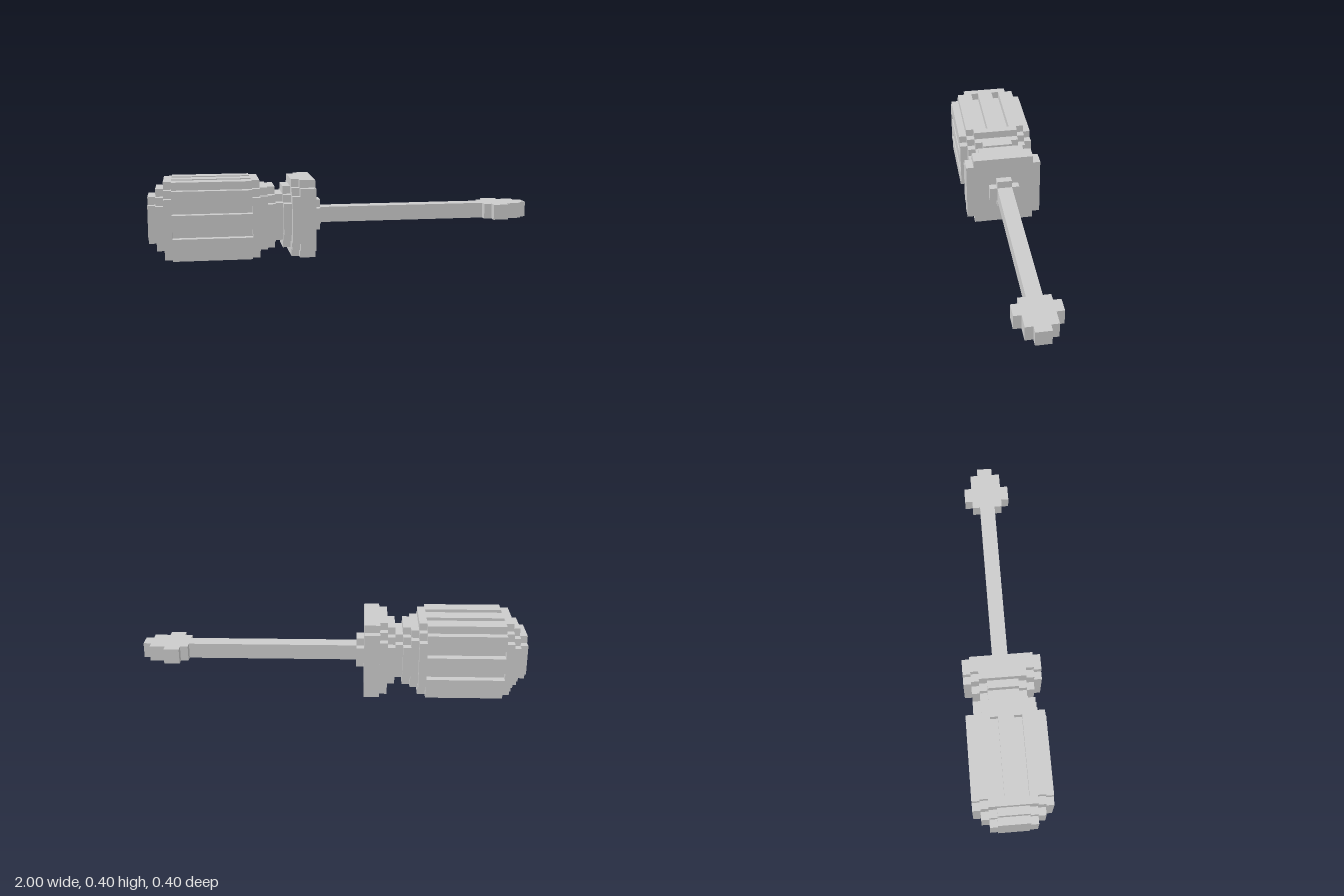
import * as THREE from 'three';

const U = 0.04; // size of one block
const material = new THREE.MeshStandardMaterial({ color: 0xcccccc, flatShading: true });

// Mirror the first-quadrant points of an outline into all four quadrants
function mirroredShape(quarter) {
  const rev = [...quarter].reverse();
  const pts = [
    ...quarter,
    ...rev.map(([x, y]) => [-x, y]),
    ...quarter.map(([x, y]) => [-x, -y]),
    ...rev.map(([x, y]) => [x, -y]),
  ];
  return new THREE.Shape(pts.map(([x, y]) => new THREE.Vector2(x * U, y * U)));
}

// Square section of half-width h with corners stepped back by `cut` blocks
function section(h, cut, grooved = false) {
  const side = grooved ? [[h, 1], [h - 1, 1], [h - 1, 2], [h, 2]] : [];
  const steps = [];
  for (let i = 0; i <= cut; i++) {
    steps.push([h - i, h - cut + i]);
    if (i < cut) steps.push([h - i - 1, h - cut + i]);
  }
  const top = side.map(([a, b]) => [b, a]).reverse();
  return mirroredShape([...side, ...steps, ...top]);
}

// Extrude a section along x from block x0 to block x1
function addSlice(group, name, shape, x0, x1) {
  const geo = new THREE.ExtrudeGeometry(shape, { depth: (x1 - x0) * U, bevelEnabled: false });
  geo.rotateY(Math.PI / 2);
  geo.translate(x0 * U, 5 * U, 0);
  const mesh = new THREE.Mesh(geo, material);
  mesh.name = name;
  group.add(mesh);
}

export function createModel() {
  const model = new THREE.Group();
  model.name = 'screwdriver';

  // Handle, neck and guard: [name, half-width, corner cut, start, end, grooved]
  const handle = new THREE.Group();
  handle.name = 'handle';
  [
    ['endCap', 3, 1, -25, -24],
    ['rearStep', 4, 2, -24, -23],
    ['gripRearEdge', 5, 2, -23, -22],
    ['groovedGrip', 5, 1, -22, -12, true],
    ['gripFrontEdge', 5, 2, -12, -11],
    ['frontStep', 4, 1, -11, -10],
    ['frontStepEdge', 4, 2, -10, -9],
    ['neck', 3, 1, -9, -8],
    ['guardStep', 4, 2, -8, -7],
    ['guardEdge', 5, 2, -7, -6],
    ['guard', 5, 1, -6, -4],
    ['shaftCollar', 2, 1, -4, -3],
  ].forEach(([name, h, cut, x0, x1, grooved]) =>
    addSlice(handle, name, section(h, cut, grooved), x0, x1));
  model.add(handle);

  // Shaft
  addSlice(model, 'shaft', section(1, 0), -3, 19);

  // Flat blade: stepped outline seen from above, two blocks thick
  const half = [[19, 2], [20, 2], [20, 3], [22, 3], [22, 2], [24, 2], [24, 1], [25, 1]];
  const outline = [...half, ...[...half].reverse().map(([x, z]) => [x, -z])];
  const bladeShape = new THREE.Shape(outline.map(([x, z]) => new THREE.Vector2(x * U, z * U)));
  const bladeGeo = new THREE.ExtrudeGeometry(bladeShape, { depth: 2 * U, bevelEnabled: false });
  bladeGeo.rotateX(-Math.PI / 2);
  bladeGeo.translate(0, 4 * U, 0);
  const blade = new THREE.Mesh(bladeGeo, material);
  blade.name = 'blade';
  model.add(blade);

  return model;
}
